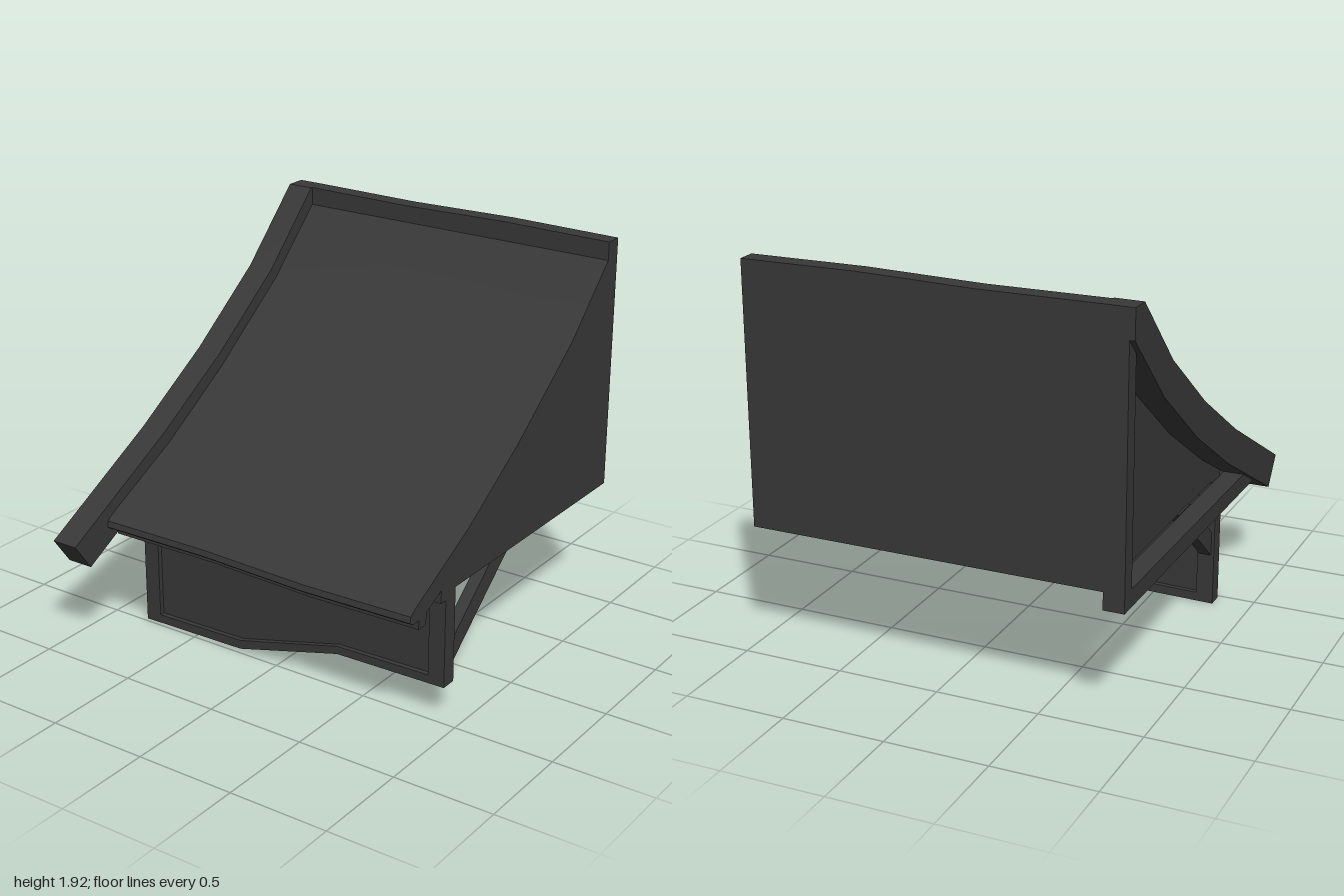
import * as THREE from 'three';
import { toCreasedNormals } from 'three/addons/utils/BufferGeometryUtils.js';

const material = new THREE.MeshStandardMaterial({ color: 0x383838 });

function shapeOf(points) {
  return new THREE.Shape(points.map(([a, b]) => new THREE.Vector2(a, b)));
}

// Extrudes a [z, y] profile along x from x0 to x1
function alongX(points, x0, x1, steps = 1) {
  const shape = shapeOf(points.map(([z, y]) => [-z, y]));
  const g = new THREE.ExtrudeGeometry(shape, { depth: x1 - x0, steps, bevelEnabled: false });
  return g.rotateY(Math.PI / 2).translate(x0, 0, 0);
}

// Extrudes an [x, y] shape along z from z0 to z1
function alongZ(shape, z0, z1) {
  return new THREE.ExtrudeGeometry(shape, { depth: z1 - z0, bevelEnabled: false }).translate(0, 0, z0);
}

// Box given by its lower and upper corner
function boxBetween([x0, y0, z0], [x1, y1, z1]) {
  return new THREE.BoxGeometry(x1 - x0, y1 - y0, z1 - z0)
    .translate((x0 + x1) / 2, (y0 + y1) / 2, (z0 + z1) / 2);
}

// Warps each of the four x stations slightly up or down
function sag(g, x0, x1, offset) {
  const p = g.attributes.position;
  for (let i = 0; i < p.count; i++) {
    const station = Math.round((p.getX(i) - x0) / (x1 - x0) * 3);
    p.setY(i, p.getY(i) + offset(station, p.getY(i), p.getZ(i)));
  }
  return g;
}

export function createModel() {
  const model = new THREE.Group();
  const add = (name, geometry) => {
    const mesh = new THREE.Mesh(toCreasedNormals(geometry, 0.6), material);
    mesh.name = name;
    model.add(mesh);
  };

  const right = -0.925, left = 0.925, inner = -0.79;
  const floorY = 0.725, rimY = 0.645;
  const eaveSag = [0, 0.006, -0.01, 0];
  const ridgeSag = [0, -0.005, 0.006, 0];

  // Curved roof with closed side walls, floor and eave batten
  const body = alongX([
    [-0.94, floorY], [0.4, floorY], [0.4, 0.61], [0.52, 0.61], [0.52, 0.675],
    [0.64, 0.62], [0.64, 0.56], [0.70, 0.56], [0.70, 0.605], [0.75, 0.605],
    [0.77, 0.62], [0.765, 0.65], [0.73, 0.675], [0.3, 0.895], [-0.12, 1.16],
    [-0.59, 1.51], [-0.91, 1.82], [-0.94, 1.82],
  ], inner, left, 3);
  add('roofBody', sag(body, inner, left, (s, y, z) => {
    if (z < 0.53 && y < 0.73) return 0;
    return eaveSag[s] * (1 - Math.min(1, Math.max(0, (y - 0.62) / 1.2)));
  }));

  // Rim around the recessed floor
  for (const x of [inner, left - 0.07]) {
    add('floorRim', boxBetween([x, rimY, -0.94], [x + 0.07, floorY, 0.4]));
  }
  add('floorRim', boxBetween([inner, rimY, 0.32], [left, floorY, 0.4]));

  // Back wall and the ridge beam on top of it
  add('backWall', boxBetween([-0.9, rimY, -1], [left, 1.82, -0.92]));
  const ridge = alongX([[-1, 1.82], [-0.91, 1.82], [-0.91, 1.91], [-1, 1.91]], inner, left, 3);
  add('ridgeBeam', sag(ridge, inner, left, (s, y) => (y > 1.9 ? ridgeSag[s] : 0)));

  // Bent bargeboard overhanging the recessed side
  add('bargeboard', alongX([
    [0.9, 0.46], [0.24, 0.815], [-0.21, 1.095], [-0.65, 1.425], [-1, 1.77],
    [-1, 1.91], [-0.9, 1.91], [-0.55, 1.56], [-0.12, 1.24], [0.33, 0.96], [1, 0.6],
  ], right, inner));

  // Side beam under the bargeboard
  add('sideBeam', boxBetween([-0.9, 0.56, -1], [-0.8, rimY, 0.71]));

  // Hanging front frame with a crooked lower edge
  const frame = shapeOf([
    [-0.815, 0.61], [-0.815, 0], [-0.23, 0.01], [0.34, 0.16], [left, 0.17], [left, 0.61],
  ]);
  const opening = [
    [-0.73, 0.565], [-0.73, 0.045], [-0.23, 0.055], [0.34, 0.2], [0.84, 0.21], [0.84, 0.565],
  ];
  frame.holes.push(new THREE.Path(opening.map(([x, y]) => new THREE.Vector2(x, y))));
  add('frontFrame', alongZ(frame, 0.4, 0.48));
  add('frontPanel', alongZ(shapeOf(opening), 0.425, 0.455));

  // Diagonal braces from the frame posts back to the floor
  for (const x of [-0.8, 0.855]) {
    add('brace', alongX([[0.41, 0.25], [0.41, 0.372], [0.07, 0.65], [-0.08, 0.65]], x, x + 0.06));
  }

  return model;
}
